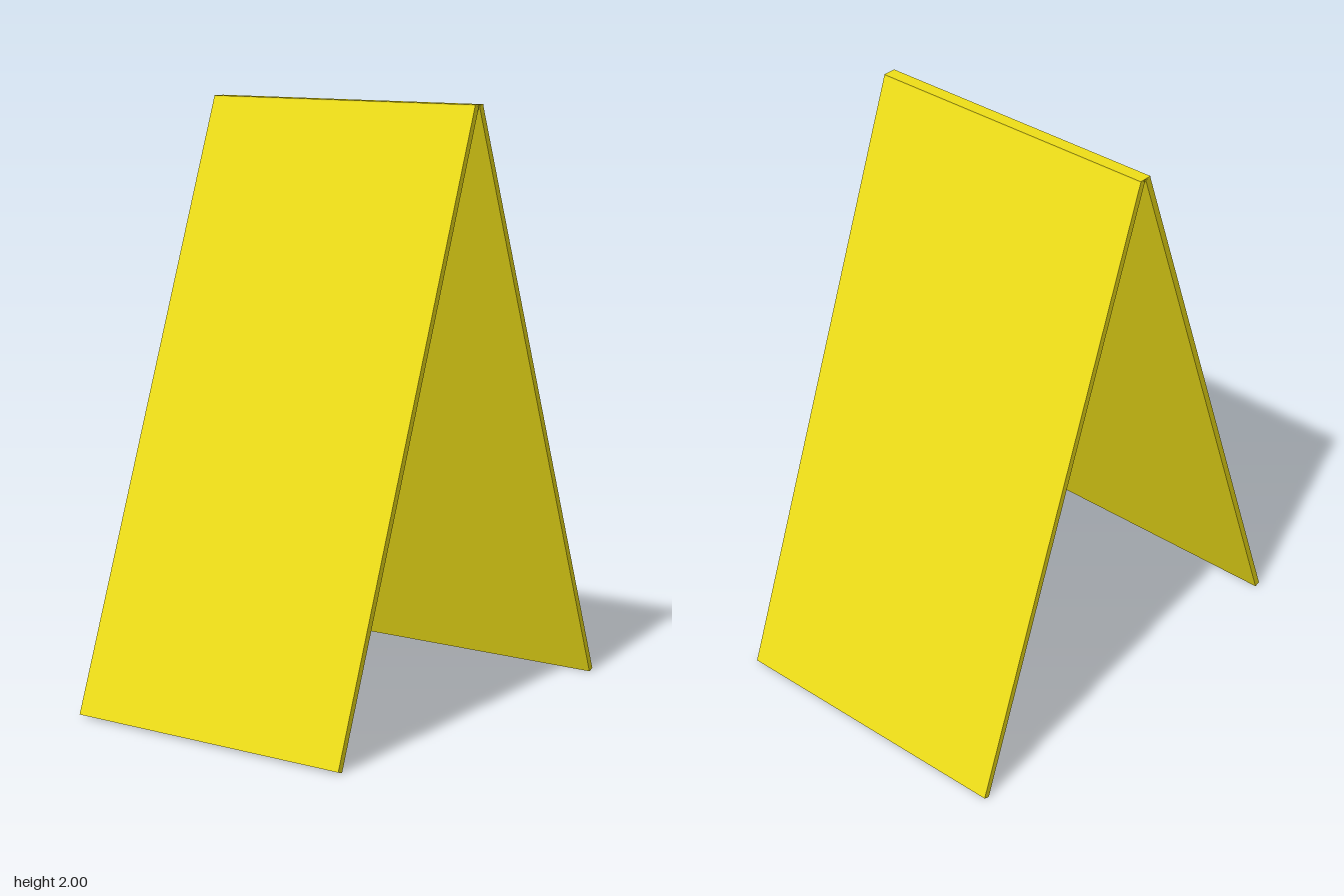
import * as THREE from 'three';

const WIDTH = 1.056, THICK = 0.021, TILT = THREE.MathUtils.degToRad(20);
const LENGTH = (2 - THICK * Math.sin(TILT)) / Math.cos(TILT);

export function createModel() {
  const group = new THREE.Group();
  group.name = 'foldingFloorSign';
  const yellow = new THREE.MeshStandardMaterial({ color: 0xf0e018 });

  // Two flat boards leaning together, outer foot edges at z = +-0.747
  const reach = (LENGTH * Math.sin(TILT) + THICK * Math.cos(TILT)) / 2;
  const board = new THREE.BoxGeometry(WIDTH, LENGTH, THICK);
  for (const side of [1, -1]) {
    const panel = new THREE.Mesh(board, yellow);
    panel.name = side > 0 ? 'frontPanel' : 'backPanel';
    panel.position.set(0, 1, side * (0.747 - reach + THICK * Math.cos(TILT) / 2 - THICK * Math.cos(TILT) / 2));
    panel.rotation.x = -side * TILT;
    group.add(panel);
  }

  // Thin strip closing the ridge between the boards
  const ridge = new THREE.Mesh(new THREE.BoxGeometry(WIDTH, 0.004, 0.046), yellow);
  ridge.name = 'ridgeStrip';
  ridge.position.set(0, 1.998, 0);
  group.add(ridge);
  return group;
}
